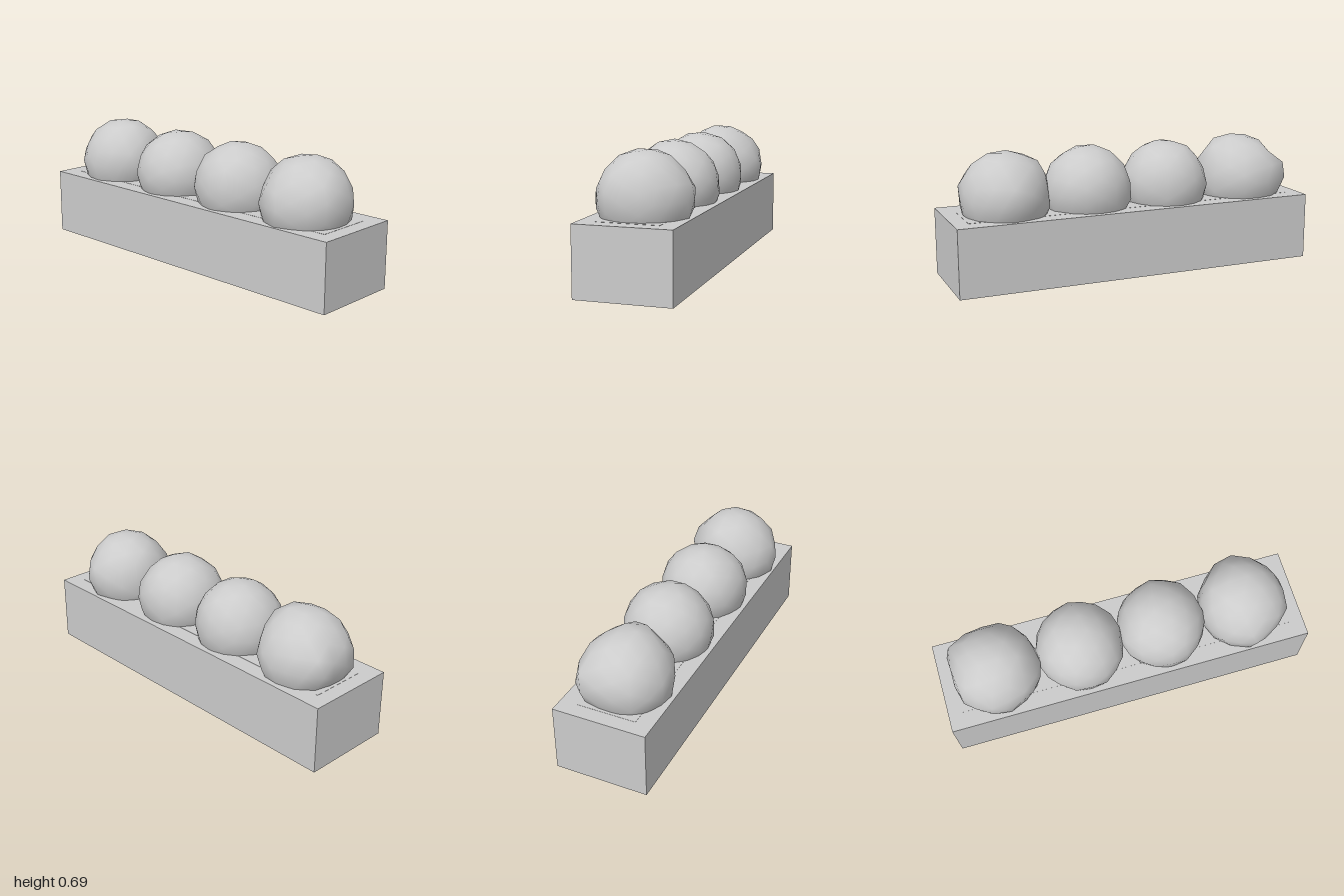
import * as THREE from 'three';
import { mergeVertices } from 'three/addons/utils/BufferGeometryUtils.js';

const BOX_H = 0.362;

function seeded(seed) {
  let s = seed;
  return () => (s = (s * 16807) % 2147483647) / 2147483647;
}

// Lumpy low-poly ball with smooth normals; bumps are [x, y, z, amount] pushes
function bushGeometry(seed, jitter, bumps) {
  let geo = new THREE.IcosahedronGeometry(1, 2);
  geo.deleteAttribute('normal');
  geo.deleteAttribute('uv');
  geo = mergeVertices(geo, 1e-3);
  geo.rotateY(seed * 0.7);
  const rand = seeded(seed * 7919);
  const dirs = bumps.map(([x, y, z, a]) => [new THREE.Vector3(x, y, z).normalize(), a]);
  const pos = geo.attributes.position;
  const v = new THREE.Vector3();
  for (let i = 0; i < pos.count; i++) {
    v.fromBufferAttribute(pos, i);
    let r = 1 + (rand() - 0.5) * jitter;
    for (const [d, a] of dirs) r += a * Math.max(0, (v.dot(d) - 0.86) / 0.14);
    v.multiplyScalar(r);
    pos.setXYZ(i, v.x * 0.238, v.y * 0.24, v.z * 0.24);
  }
  geo.computeVertexNormals();
  return geo;
}

export function createModel() {
  const group = new THREE.Group();
  const material = new THREE.MeshStandardMaterial({ color: 0xcccccc });
  const add = (name, geo, x, y, z) => {
    const mesh = new THREE.Mesh(geo, material);
    mesh.name = name;
    mesh.position.set(x, y, z);
    group.add(mesh);
  };

  // Planter trough with the soil panel almost flush in its top
  add('planterBox', new THREE.BoxGeometry(2, BOX_H, 0.5), 0, BOX_H / 2, 0);
  add('soil', new THREE.BoxGeometry(1.84, 0.01, 0.32), 0, BOX_H - 0.004, 0);

  // Row of four clipped bushes, the outer two more uneven
  const bushes = [
    [-0.688, 0.06, [[-1, 0.2, -0.75, 0.16], [-1, 0.1, 0.5, 0.06], [0.7, 0.8, 0, 0.07]]],
    [-0.23, 0.035, [[0.3, 0.1, 1, 0.03]]],
    [0.225, 0.045, [[-0.8, 0.4, 0.5, 0.04]]],
    [0.682, 0.06, [[0, 0.2, -1, 0.06], [0, 0, 1, 0.05], [-0.75, 0.75, 0, 0.07], [0.8, 0.2, 0.6, 0.05]]],
  ];
  bushes.forEach(([x, jitter, bumps], i) =>
    add('bush' + (i + 1), bushGeometry(i + 3, jitter, bumps), x, 0.447, 0));

  return group;
}
